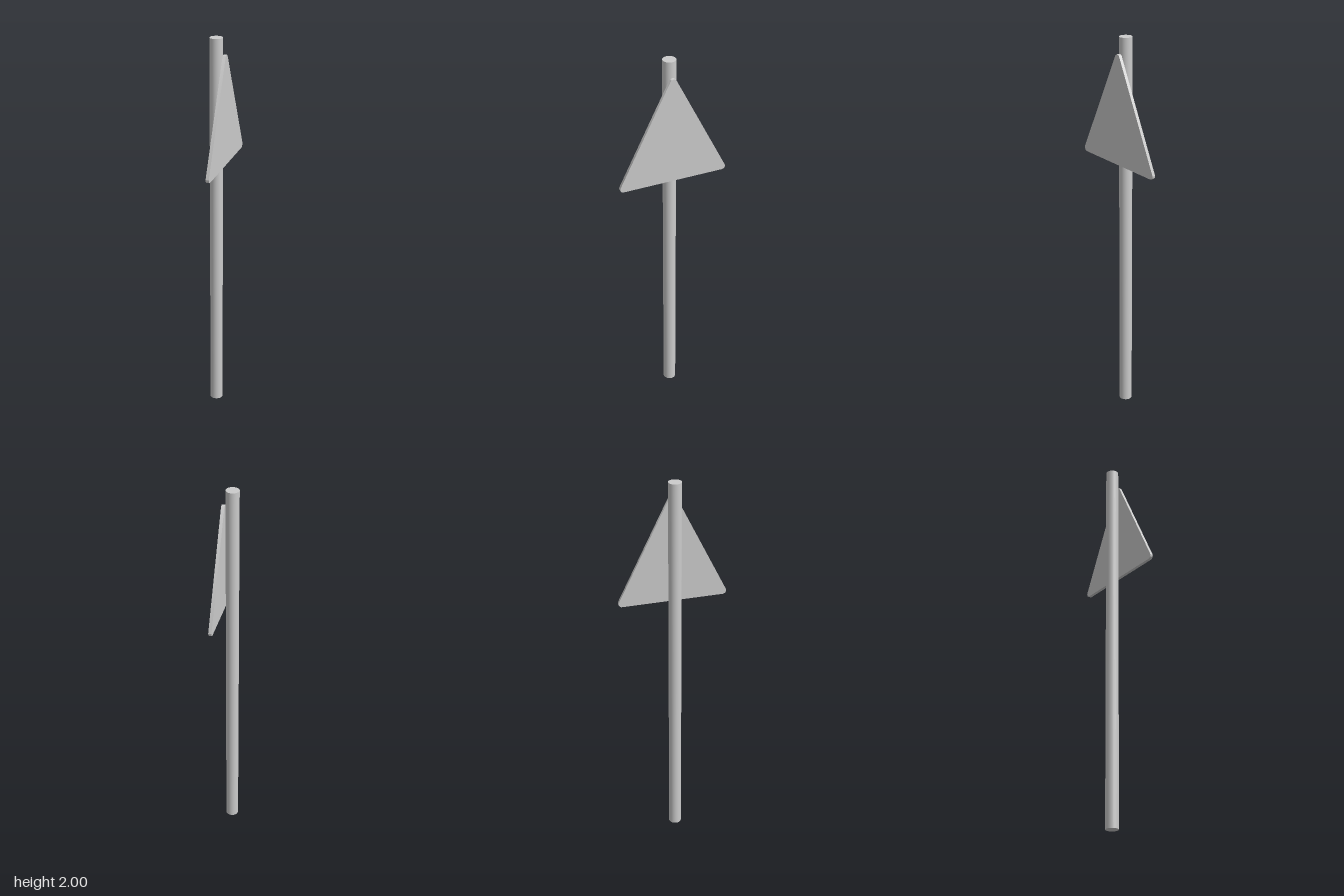
import * as THREE from 'three';
import { toCreasedNormals } from 'three/addons/utils/BufferGeometryUtils.js';

// Triangle with rounded corners: arcs around three corner centres
function roundedTriangle(halfWidth, bottom, top, r) {
  const a = halfWidth - r, low = bottom + r, high = top - r;
  const tilt = Math.atan2(a, high - low); // lean of the sloping sides
  const side = Math.PI / 2 - tilt;        // half sweep between apex side normals
  const shape = new THREE.Shape();
  shape.absarc(a, low, r, -Math.PI / 2, tilt, false);
  shape.absarc(0, high, r, tilt, tilt + 2 * side, false);
  shape.absarc(-a, low, r, Math.PI - tilt, Math.PI * 1.5, false);
  shape.closePath();
  return shape;
}

export function createModel() {
  const group = new THREE.Group();
  group.name = 'roadSign';
  const material = new THREE.MeshStandardMaterial({ color: 0xcccccc });

  // Round post
  const post = new THREE.Mesh(new THREE.CylinderGeometry(0.033, 0.033, 2, 32), material);
  post.name = 'post';
  post.position.set(-0.01, 1, 0);
  group.add(post);

  // Thin triangular plate, facing +x just beside the post
  const plateGeometry = new THREE.ExtrudeGeometry(roundedTriangle(0.278, 1.36, 1.92, 0.018), {
    depth: 0.016, bevelEnabled: false, curveSegments: 10,
  });
  plateGeometry.rotateY(Math.PI / 2);
  const plate = new THREE.Mesh(toCreasedNormals(plateGeometry, 0.6), material);
  plate.name = 'signPlate';
  plate.position.x = 0.026;
  group.add(plate);

  return group;
}
